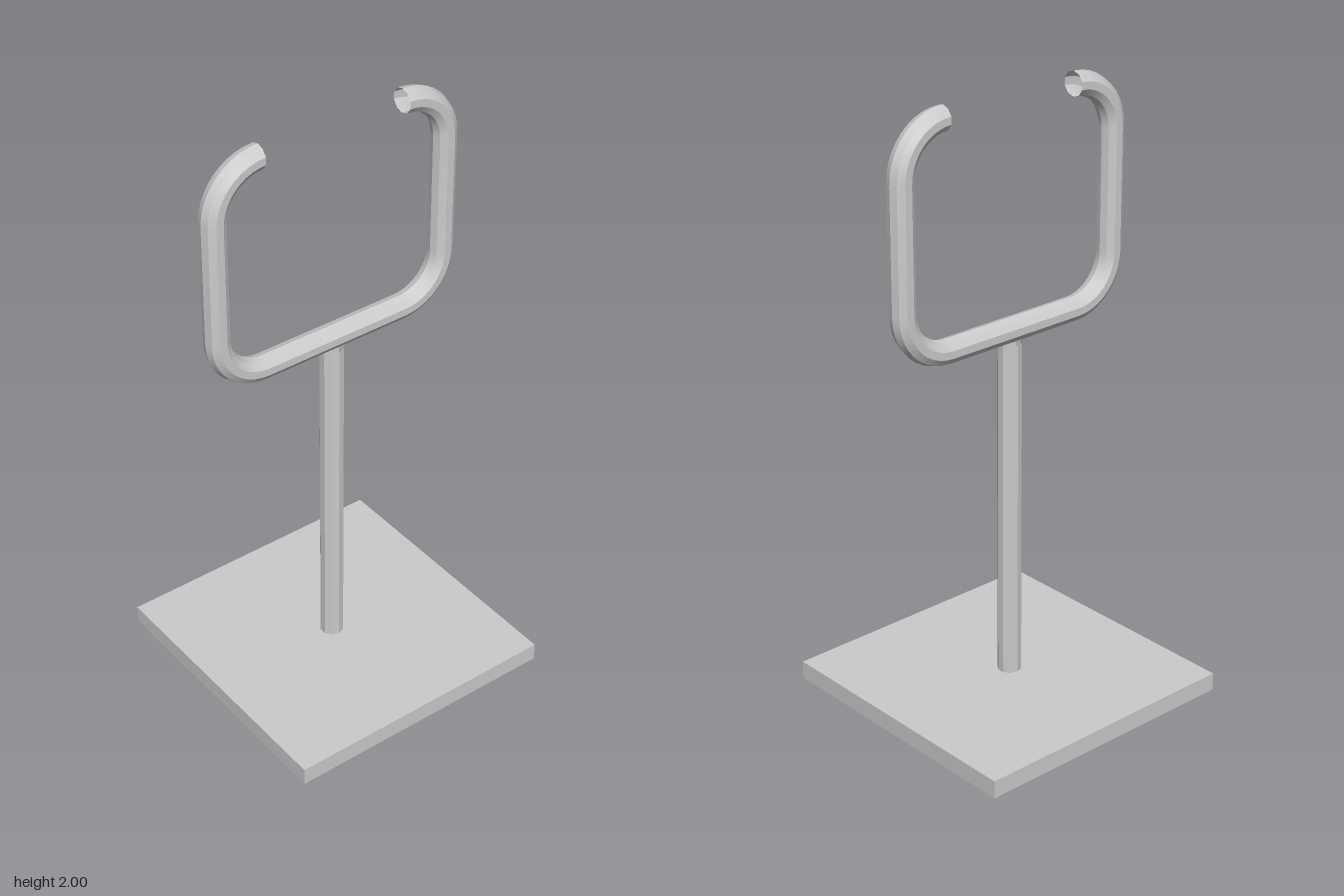
import * as THREE from 'three';
import { toCreasedNormals } from 'three/addons/utils/BufferGeometryUtils.js';

const SIDES = 10;
const TUBE_R = 0.04;
const BEND_R = 0.16;
const CREASE = Math.PI / 6;

// Open ten-sided tube swept around four quarter bends, joined by straight runs
function loopGeometry() {
  const bends = [[-0.263, 1.8, 1], [-0.263, 1.4, 2], [0.247, 1.4, 3], [0.247, 1.8, 4]];
  const steps = 10;
  const positions = [], indices = [];
  for (const [cx, cy, quarter] of bends) {
    for (let i = 0; i <= steps; i++) {
      const angle = (quarter + i / steps) * Math.PI / 2;
      for (let j = 0; j < SIDES; j++) {
        const a = j / SIDES * Math.PI * 2;
        const rho = BEND_R + TUBE_R * Math.cos(a);
        positions.push(cx + rho * Math.cos(angle), cy + rho * Math.sin(angle), TUBE_R * Math.sin(a));
      }
    }
  }
  const rings = bends.length * (steps + 1);
  for (let i = 0; i < rings - 1; i++) {
    for (let j = 0; j < SIDES; j++) {
      const k = (j + 1) % SIDES;
      const a = i * SIDES + j, b = a + SIDES, c = i * SIDES + k, d = c + SIDES;
      indices.push(a, b, c, b, d, c);
    }
  }
  const geometry = new THREE.BufferGeometry();
  geometry.setAttribute('position', new THREE.Float32BufferAttribute(positions, 3));
  geometry.setIndex(indices);
  return toCreasedNormals(geometry, CREASE);
}

export function createModel() {
  const group = new THREE.Group();
  const solid = new THREE.MeshStandardMaterial({ color: 0xcccccc });
  const open = new THREE.MeshStandardMaterial({ color: 0xcccccc, side: THREE.DoubleSide });

  const add = (name, geometry, material, x, y, z) => {
    const mesh = new THREE.Mesh(geometry, material);
    mesh.name = name;
    mesh.position.set(x, y, z);
    group.add(mesh);
  };

  // Square foot plate
  add('base', new THREE.BoxGeometry(0.94, 0.06, 0.94), solid, 0, 0.03, 0);

  // Upright from the plate to the underside of the loop
  const post = toCreasedNormals(new THREE.CylinderGeometry(0.039, 0.039, 1.14, SIDES, 1, true), CREASE);
  add('post', post, open, -0.008, 0.63, -0.002);

  // Bent tube cradle, open at the top
  add('cradleLoop', loopGeometry(), open, 0, 0, -0.002);

  return group;
}
